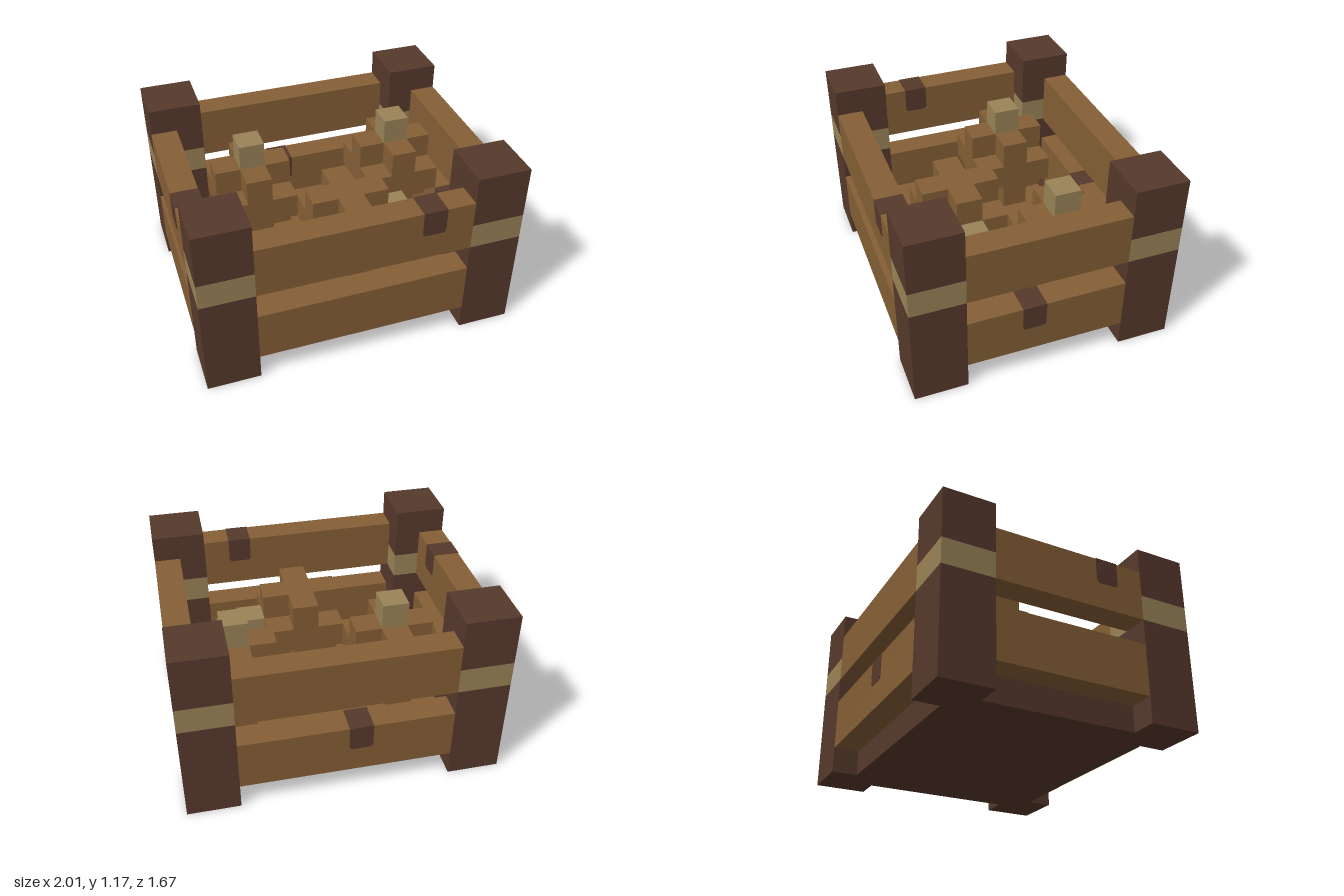
import * as THREE from 'three';

const U = 1 / 6; // block unit

export function createModel() {
  const mat = (name, color) => {
    const m = new THREE.MeshStandardMaterial({ color });
    m.name = name;
    return m;
  };
  const dark = mat('dark wood', 0x56392c);
  const brown = mat('brown wood', 0x855f35);
  const tan = mat('pale tan', 0x998357);

  const model = new THREE.Group();
  model.name = 'crate';

  // Box from its minimum and maximum corners, in block units
  const box = (name, material, a, b, parent = model) => {
    const size = a.map((v, i) => (b[i] - v) * U);
    const mesh = new THREE.Mesh(new THREE.BoxGeometry(...size), material);
    mesh.position.set(...a.map((v, i) => ((v + b[i]) / 2) * U));
    mesh.name = name;
    parent.add(mesh);
    return mesh;
  };

  // Base slab and raised floor
  box('baseSlab', dark, [-5, 0, -4], [5, 1, 4]);
  box('floor', brown, [-4, 1, -3], [4, 2, 3]);

  // Corner posts with a pale band
  for (const sx of [-1, 1]) {
    for (const sz of [-1, 1]) {
      const post = new THREE.Group();
      post.name = 'cornerPost';
      box('postLower', dark, [-1, 0, -1], [1, 4, 1], post);
      box('postBand', tan, [-1, 4, -1], [1, 5, 1], post);
      box('postTop', dark, [-1, 5, -1], [1, 7, 1], post);
      post.position.set(sx * 5 * U, 0, sz * 4 * U);
      model.add(post);
    }
  }

  // Two rows of planks on all four sides
  for (const y of [1, 4]) {
    for (const s of [-1, 1]) {
      box('longPlank', brown, [-4, y, s * 4.5 - 0.5], [4, y + 2, s * 4.5 + 0.5]);
      box('sidePlank', brown, [s * 5.5 - 0.5, y, -3], [s * 5.5 + 0.5, y + 2, 3]);
    }
  }

  // Dark patches wrapped over the plank edges, rounded at the bottom
  const w = 0.074, r = 0.025, h = 0.163, proud = 0.003;
  const shape = new THREE.Shape();
  shape.moveTo(-w, proud);
  shape.lineTo(-w, -h + r);
  shape.quadraticCurveTo(-w, -h, -w + r, -h);
  shape.lineTo(w - r, -h);
  shape.quadraticCurveTo(w, -h, w, -h + r);
  shape.lineTo(w, proud);
  const patchGeo = new THREE.ExtrudeGeometry(shape, {
    depth: U + 2 * proud, bevelEnabled: false, curveSegments: 4,
  });
  patchGeo.translate(0, 0, -U / 2 - proud);
  const patches = [
    [0.415, 1, 0.75, 0],
    [-0.083, 0.5, -0.75, 0],
    [0.9167, 0.5, 0.083, Math.PI / 2],
    [-0.9167, 1, 0.25, Math.PI / 2],
  ];
  for (const [x, y, z, turn] of patches) {
    const patch = new THREE.Mesh(patchGeo, dark);
    patch.name = 'plankPatch';
    patch.position.set(x, y, z);
    patch.rotation.y = turn;
    model.add(patch);
  }

  // Blocky fruit: a three-unit cube without corners, plus a stem
  const fruit = (x, z, tilt) => {
    const g = new THREE.Group();
    g.name = 'fruit';
    for (const [a, b, c] of [[3, 3, 1], [3, 1, 3], [1, 3, 3]]) {
      box('fruitBody', brown, [-a / 2, -b / 2, -c / 2], [a / 2, b / 2, c / 2], g);
    }
    box('fruitStem', tan, [-0.5, 1.5, -0.5], [0.5, 2.5, 0.5], g);
    g.position.set(x * U, 3.5 * U, z * U);
    g.rotation.z = tilt;
    model.add(g);
  };
  fruit(-2.5, -1.5, 0);
  fruit(3.5, -1.5, 0);
  fruit(0.5, 1.5, -Math.PI / 2);

  return model;
}
